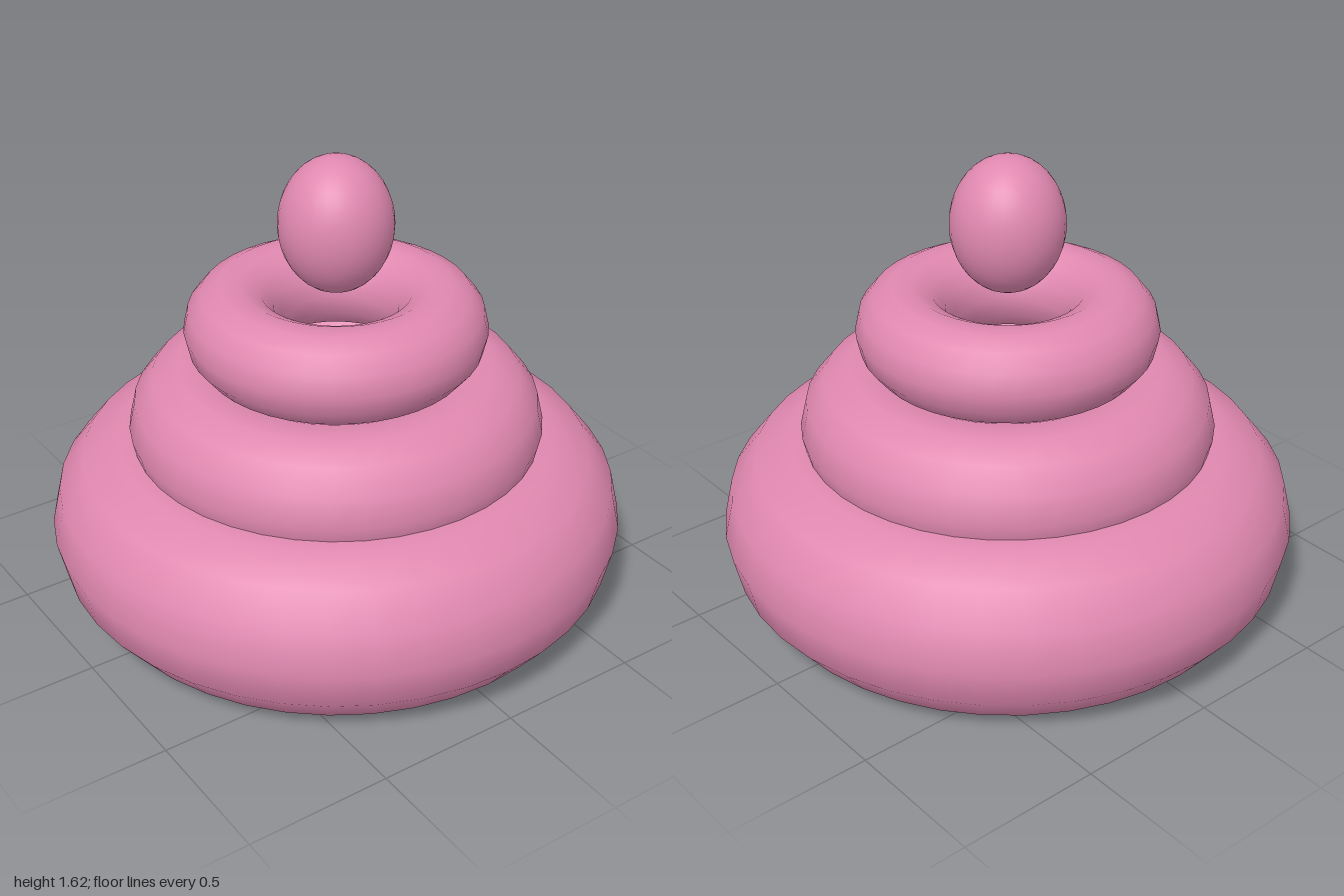
import * as THREE from 'three';

export function createModel() {
  const group = new THREE.Group();
  const pink = new THREE.MeshStandardMaterial({ color: 0xe088b0 });
  pink.name = 'pink';

  // Stacked rings: name, ring radius, tube radius, centre height
  const rings = [
    ['bottomRing', 0.687, 0.313, 0.305],
    ['middleRing', 0.49, 0.225, 0.66],
    ['topRing', 0.355, 0.16, 1.015],
  ];
  for (const [name, radius, tube, y] of rings) {
    const geometry = new THREE.TorusGeometry(radius, tube, 14, 40);
    geometry.rotateX(-Math.PI / 2);
    const ring = new THREE.Mesh(geometry, pink);
    ring.name = name;
    ring.position.y = y;
    group.add(ring);
  }

  // Egg-shaped knob resting in the top ring
  const knob = new THREE.Mesh(new THREE.SphereGeometry(1, 32, 20), pink);
  knob.name = 'knob';
  knob.scale.set(0.194, 0.235, 0.194);
  knob.position.y = 1.385;
  group.add(knob);

  return group;
}
